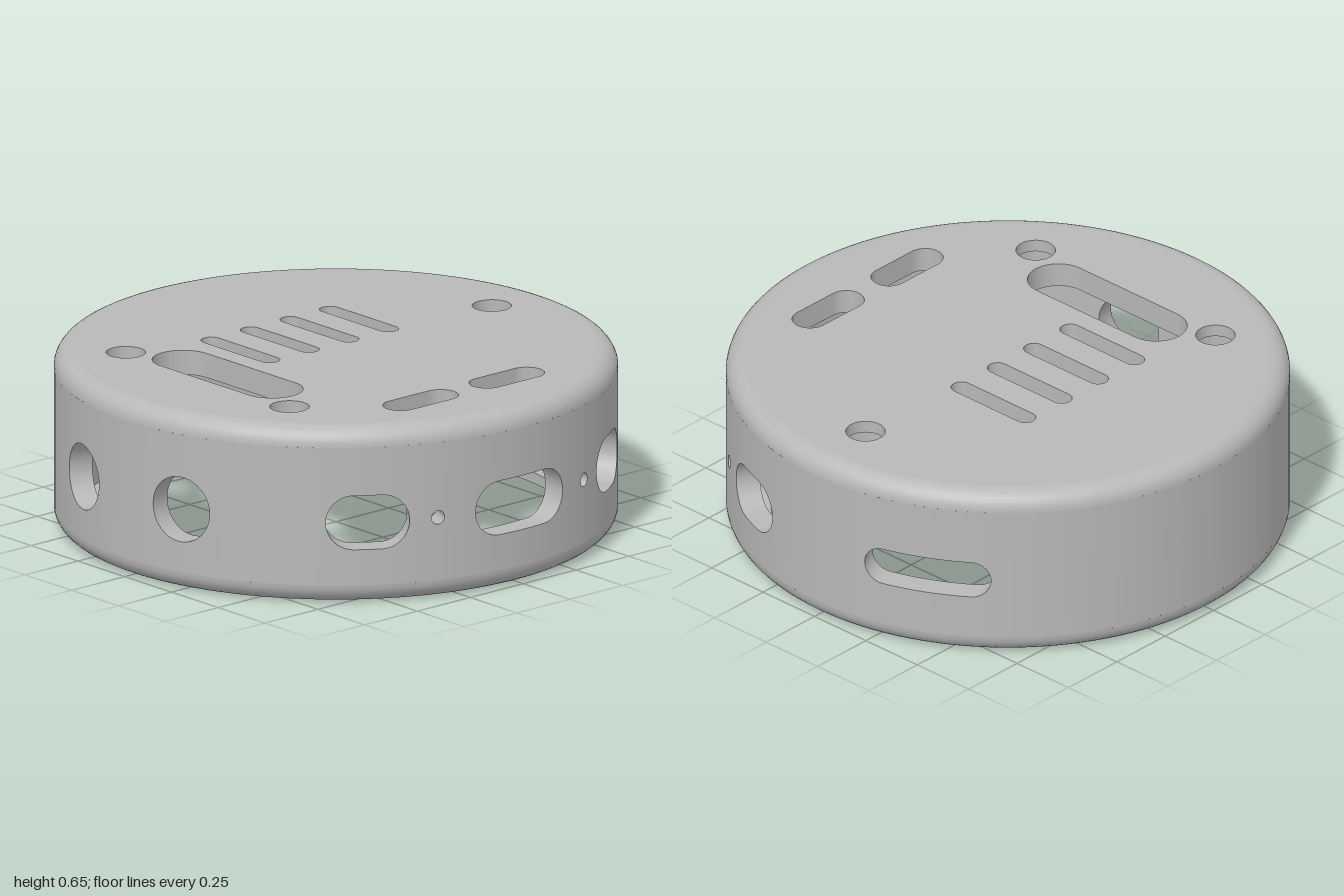
import * as THREE from 'three';
import { toCreasedNormals } from 'three/addons/utils/BufferGeometryUtils.js';

const OUTER = 1, INNER = 0.91, HEIGHT = 0.65, FILLET = 0.07;
const CEILING = 0.56, STEP = 0.605, LIP = 0.04, PORT_Y = 0.302;
const rad = THREE.MathUtils.degToRad;

// Wall ports: [angle from the front towards +x, half width, half height]
const ports = [
  [-105.5, 0.12, 0.12], [-75, 0.12, 0.12], [-35, 0.15, 0.1], [-20.3, 0.025, 0.025],
  [0, 0.206, 0.1], [20, 0.025, 0.025], [34.5, 0.15, 0.1], [52.2, 0.02, 0.025],
  [67.8, 0.154, 0.1], [116.3, 0.234, 0.07],
];

// Columns around the wall, each with its angle outside and inside and the opening's half height
function wallColumns() {
  const cols = [];
  const column = (deg, s, h) => ({
    out: rad(deg) + Math.asin(s / OUTER), in: rad(deg) + Math.asin(s / INNER), h,
  });
  ports.forEach(([deg, w, h], i) => {
    const r = Math.min(w, h), flat = w - r, half = [];
    for (let k = 0; k <= 10; k++) {
      const a = (k / 10) * Math.PI / 2;
      half.push([flat + r * Math.cos(a), k === 0 ? 0 : h * Math.sin(a)]);
    }
    half.forEach(([s, y]) => cols.push(column(deg, -s, y)));
    for (let k = 1; k < 8; k++) if (flat > 0) cols.push(column(deg, flat * (k / 4 - 1), h));
    half.reverse().forEach(([s, y], k) => { if (k || flat > 0) cols.push(column(deg, s, y)); });

    // plain wall up to the next port
    const next = ports[(i + 1) % ports.length];
    const a = cols[cols.length - 1];
    const b = column(next[0] + (i === ports.length - 1 ? 360 : 0), -next[1], 0);
    const n = Math.ceil((b.out - a.out) / rad(2.8));
    for (let k = 1; k < n; k++) {
      const t = k / n;
      cols.push({ out: a.out + (b.out - a.out) * t, in: a.in + (b.in - a.in) * t, h: 0 });
    }
  });
  cols.push(cols[0]);
  return cols;
}

function wallGeometry() {
  const pos = [];
  const outer = (c, y) => [OUTER * Math.sin(c.out), y, OUTER * Math.cos(c.out)];
  const inner = (c, y) => [INNER * Math.sin(c.in), y, INNER * Math.cos(c.in)];
  const quad = (a, b, c, d) => pos.push(...a, ...b, ...c, ...a, ...c, ...d);
  const cols = wallColumns();
  for (let i = 0; i < cols.length - 1; i++) {
    const a = cols[i], b = cols[i + 1];
    const aLo = PORT_Y - a.h, aHi = PORT_Y + a.h, bLo = PORT_Y - b.h, bHi = PORT_Y + b.h;
    const top = HEIGHT - FILLET;
    // outer skin below and above the opening
    quad(outer(a, FILLET), outer(b, FILLET), outer(b, bLo), outer(a, aLo));
    quad(outer(a, aHi), outer(b, bHi), outer(b, top), outer(a, top));
    // inner skin
    quad(inner(b, LIP), inner(a, LIP), inner(a, aLo), inner(b, bLo));
    quad(inner(b, bHi), inner(a, aHi), inner(a, CEILING), inner(b, CEILING));
    // sides of the opening
    if (a.h || b.h) {
      quad(outer(a, aLo), outer(b, bLo), inner(b, bLo), inner(a, aLo));
      quad(inner(a, aHi), inner(b, bHi), outer(b, bHi), outer(a, aHi));
    }
  }
  const g = new THREE.BufferGeometry();
  g.setAttribute('position', new THREE.Float32BufferAttribute(pos, 3));
  return toCreasedNormals(g, 0.6);
}

// Round-ended hole in the top, given by its centre and full size
function slot(x, z, w, d) {
  const p = new THREE.Path(), r = Math.min(w, d) / 2, y = -z, P = Math.PI;
  if (w === d) {
    p.absarc(x, y, r, 0, 2 * P);
  } else if (w > d) {
    p.absarc(x + w / 2 - r, y, r, -P / 2, P / 2);
    p.absarc(x - w / 2 + r, y, r, P / 2, 1.5 * P);
  } else {
    p.absarc(x, y + d / 2 - r, r, 0, P);
    p.absarc(x, y - d / 2 + r, r, P, 2 * P);
  }
  return p;
}

// One layer of the top; the screw holes are wider in the lower layer
function plateGeometry(radius, y0, y1, screwR) {
  const s = new THREE.Shape().absarc(0, 0, radius, 0, 2 * Math.PI);
  s.holes.push(slot(-0.51, -0.003, 0.22, 0.695));
  for (const x of [-0.282, -0.095, 0.093, 0.28]) s.holes.push(slot(x, -0.193, 0.074, 0.385));
  for (const x of [-0.205, 0.203]) s.holes.push(slot(x, 0.684, 0.315, 0.128));
  for (const [x, z] of [[-0.605, -0.44], [-0.605, 0.435], [0.74, -0.003]]) {
    s.holes.push(slot(x, z, 2 * screwR, 2 * screwR));
  }
  const g = new THREE.ExtrudeGeometry(s, { depth: y1 - y0, bevelEnabled: false, curveSegments: 64 });
  g.rotateX(-Math.PI / 2).translate(0, y0, 0);
  return toCreasedNormals(g, 0.6);
}

// Quarter round of the outer edge
function fillet(cy, from) {
  return Array.from({ length: 9 }, (_, k) => {
    const a = from + (k / 8) * Math.PI / 2;
    return new THREE.Vector2(OUTER - FILLET + FILLET * Math.cos(a), cy + FILLET * Math.sin(a));
  });
}

export function createModel() {
  const group = new THREE.Group();
  group.name = 'roundEnclosure';
  const grey = new THREE.MeshStandardMaterial({ color: 0xb8b8b8 });
  grey.name = 'grey plastic';
  const add = (name, geometry) => {
    const m = new THREE.Mesh(geometry, grey);
    m.name = name;
    group.add(m);
  };

  add('sideWall', wallGeometry());
  add('topPlate', plateGeometry(OUTER - FILLET, STEP, HEIGHT, 0.07));
  add('ceilingPlate', plateGeometry(INNER + 0.005, CEILING, STEP, 0.085));
  add('topEdge', new THREE.LatheGeometry(fillet(HEIGHT - FILLET, 0), 128));

  // Bottom rim with its inward lip
  const rim = [[INNER, LIP], [0.84, LIP], [0.84, 0]].map(([x, y]) => new THREE.Vector2(x, y));
  rim.push(...fillet(FILLET, -Math.PI / 2));
  add('bottomRim', toCreasedNormals(new THREE.LatheGeometry(rim, 128), 0.6));
  return group;
}
